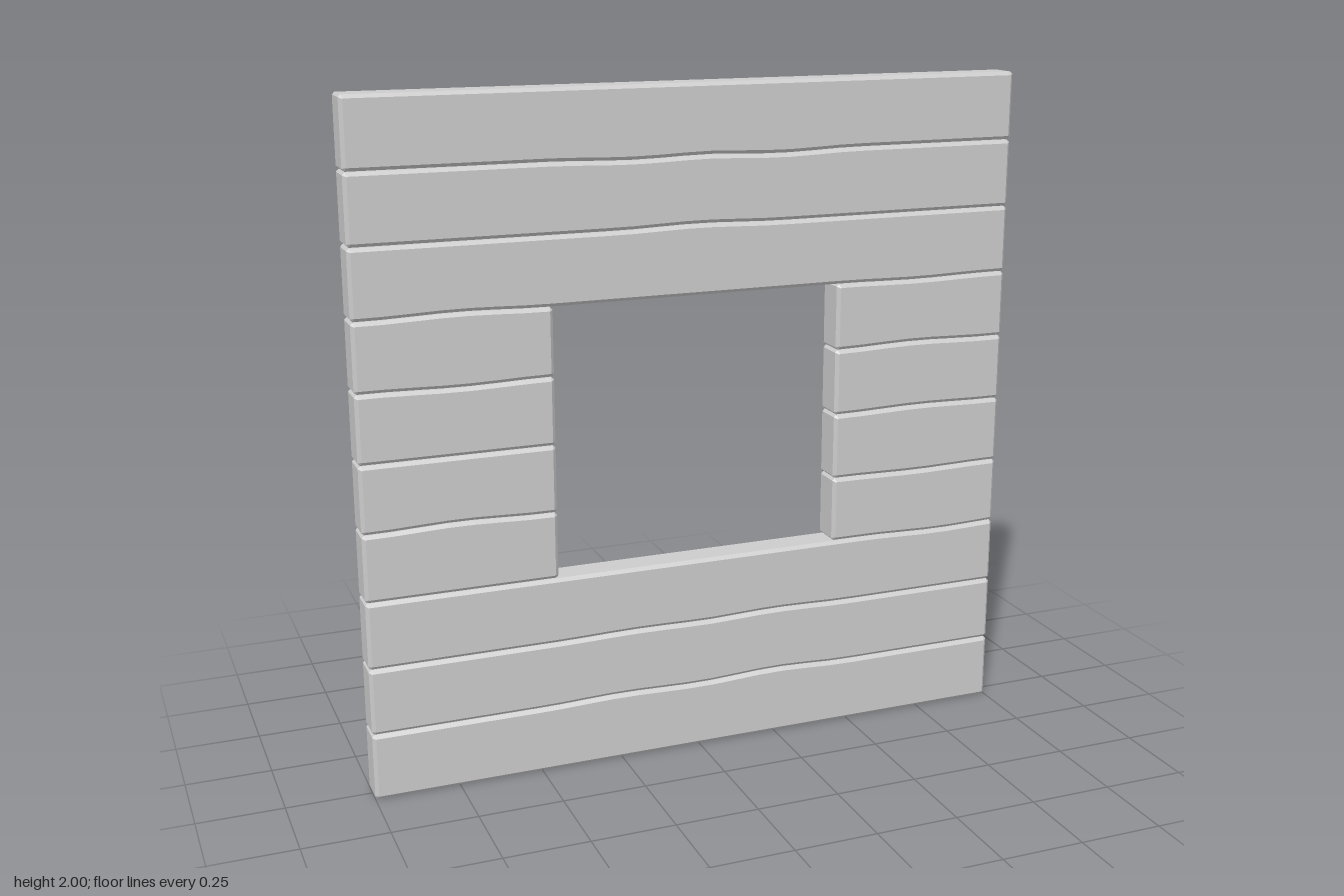
import * as THREE from 'three';

const ROW = 0.2, DEPTH = 0.1, BEVEL = 0.01, CORNER = 0.007, GAP = 0.001;

// Gentle bumps [x, dy] that make each seam wavy, by seam number from the bottom
const BUMPS = {
  1: [[-0.25, 0.006], [0.25, 0.009]],
  2: [[-0.2, 0.004], [0.25, 0.006]],
  3: [[0.8, -0.006]],
  4: [[-0.72, 0.007], [0.72, -0.004]],
  5: [[0.72, 0.005]],
  6: [[-0.7, -0.005], [0.7, 0.006]],
  7: [[-0.7, 0.006], [0.7, -0.004]],
  8: [[0, 0.006]],
  9: [[-0.2, -0.006], [0.25, -0.007]],
};

function seamY(i, x) {
  let y = i * ROW;
  for (const [cx, dy] of BUMPS[i] ?? []) {
    const t = Math.min(1, Math.abs(x - cx) / 0.25);
    y += dy * 0.5 * (1 + Math.cos(Math.PI * t));
  }
  return y;
}

// One plank: wavy outline with clipped corners, bevelled front and back
function makePlank(name, row, x0, x1, material) {
  const low = row === 0 ? 0 : GAP, high = row === 9 ? 0 : GAP;
  const bottom = (x) => seamY(row, x) + low;
  const top = (x) => seamY(row + 1, x) - high;
  const a = x0 + CORNER, b = x1 - CORNER;
  const steps = Math.round((x1 - x0) / 0.08);
  const points = [];
  for (let i = 0; i <= steps; i++) {
    const x = a + (b - a) * i / steps;
    points.push(new THREE.Vector2(x, bottom(x)));
  }
  points.push(new THREE.Vector2(x1, bottom(x1) + CORNER), new THREE.Vector2(x1, top(x1) - CORNER));
  for (let i = steps; i >= 0; i--) {
    const x = a + (b - a) * i / steps;
    points.push(new THREE.Vector2(x, top(x)));
  }
  points.push(new THREE.Vector2(x0, top(x0) - CORNER), new THREE.Vector2(x0, bottom(x0) + CORNER));

  const geometry = new THREE.ExtrudeGeometry(new THREE.Shape(points), {
    depth: DEPTH - 2 * BEVEL,
    bevelEnabled: true,
    bevelThickness: BEVEL,
    bevelSize: BEVEL,
    bevelOffset: -BEVEL,
    bevelSegments: 1,
  });
  geometry.translate(0, 0, -DEPTH / 2 + BEVEL);
  const mesh = new THREE.Mesh(geometry, material);
  mesh.name = name;
  return mesh;
}

export function createModel() {
  const wall = new THREE.Group();
  wall.name = 'plankWall';
  const material = new THREE.MeshStandardMaterial({ color: 0xcccccc });

  for (let row = 0; row < 10; row++) {
    if (row >= 3 && row <= 6) {
      // Short planks either side of the window opening
      wall.add(makePlank(`rightPlank${row + 1}`, row, -1, -0.437, material));
      wall.add(makePlank(`leftPlank${row + 1}`, row, 0.437, 1, material));
    } else {
      wall.add(makePlank(`longPlank${row + 1}`, row, -1, 1, material));
    }
  }
  return wall;
}
